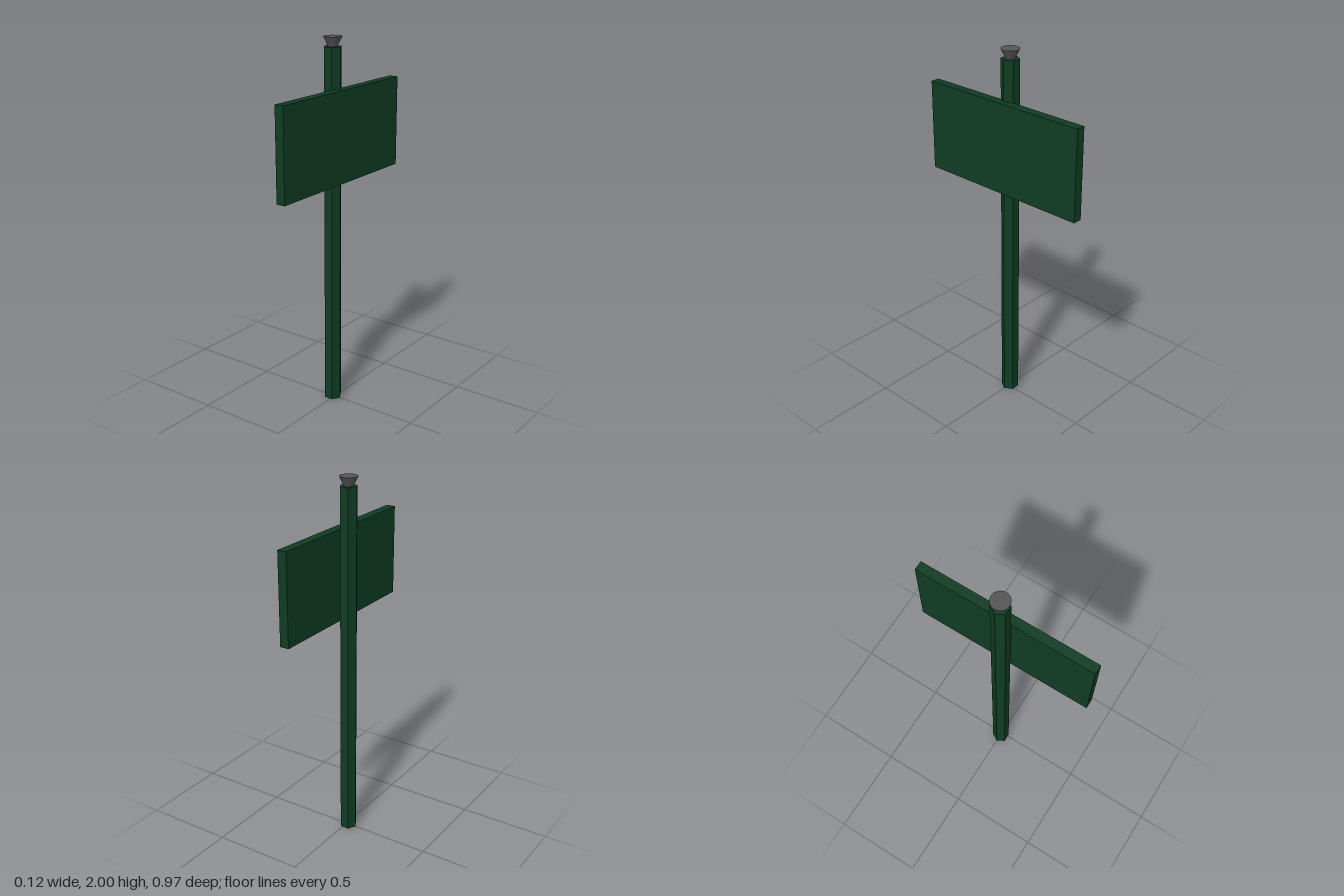
import * as THREE from 'three';

export function createModel() {
  const group = new THREE.Group();
  group.name = 'signpost';
  const green = new THREE.MeshStandardMaterial({ color: 0x0f3b22, flatShading: true });
  const grey = new THREE.MeshStandardMaterial({ color: 0x555555 });
  const postX = -0.013;

  const add = (name, geometry, material, x, y) => {
    const mesh = new THREE.Mesh(geometry, material);
    mesh.name = name;
    mesh.position.set(x, y, 0);
    group.add(mesh);
  };

  // Hexagonal post, with corners pointing along x
  const postHeight = 1.95;
  add('post', new THREE.CylinderGeometry(0.048, 0.048, postHeight, 6, 1, false, Math.PI / 6),
    green, postX, postHeight / 2);

  // Flared round cap on top of the post
  add('cap', new THREE.CylinderGeometry(0.048, 0.024, 0.05, 32), grey, postX, postHeight + 0.025);

  // Board fixed to the left side of the post
  add('signBoard', new THREE.BoxGeometry(0.05, 0.486, 0.974), green, 0.036, 1.496);

  return group;
}
